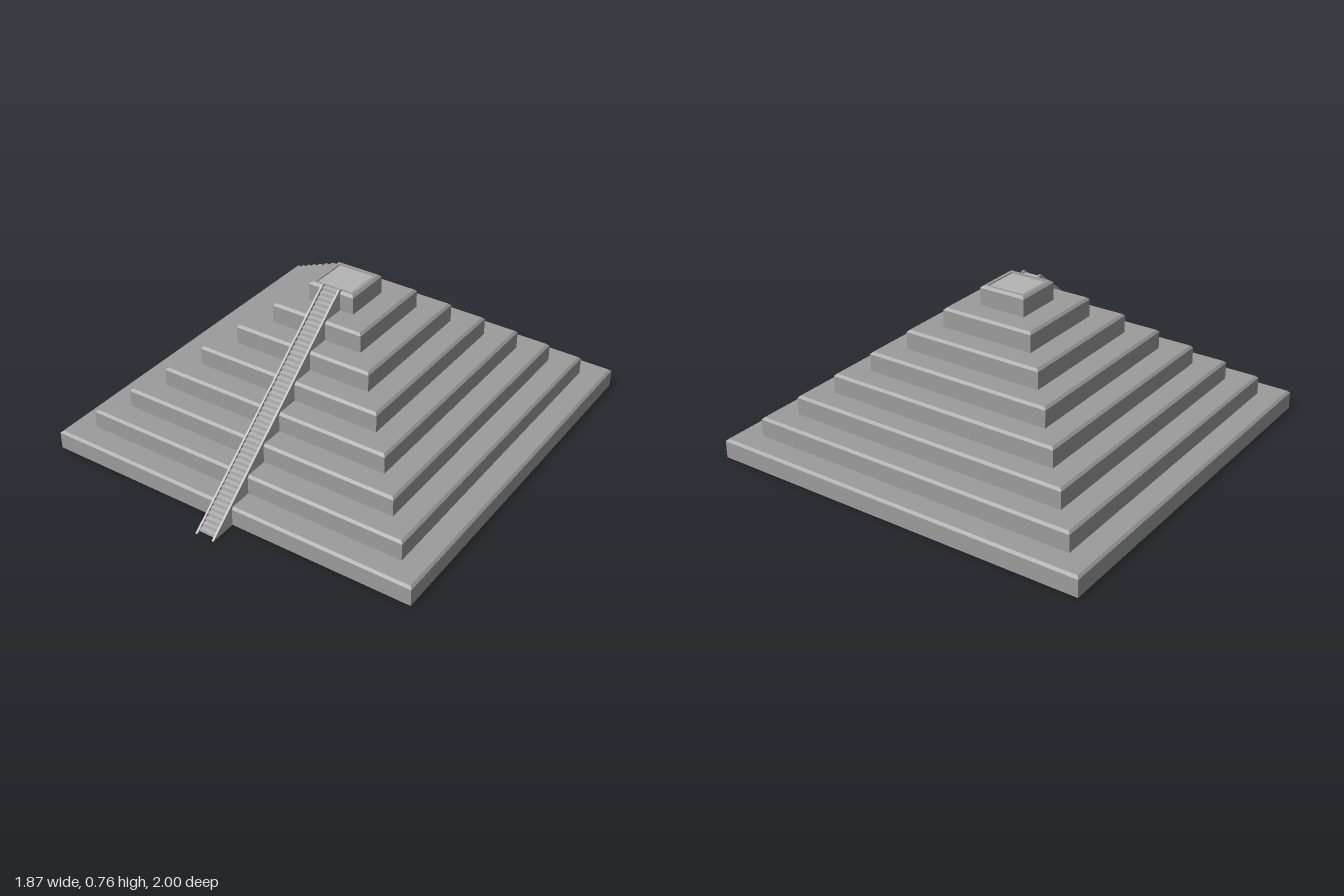
import * as THREE from 'three';

const stone = new THREE.MeshStandardMaterial({ color: 0x9c9c9c, flatShading: true, side: THREE.DoubleSide });
const paleStone = new THREE.MeshStandardMaterial({ color: 0xb4b4b4, flatShading: true, side: THREE.DoubleSide });

function part(name, geometry, material) {
  const mesh = new THREE.Mesh(geometry, material);
  mesh.name = name;
  return mesh;
}

// Four-sided shell swept from a [half width, height] profile
function squareShell(profile) {
  const points = profile.map(([w, y]) => new THREE.Vector2(w * Math.SQRT2, y));
  const geometry = new THREE.LatheGeometry(points, 4).rotateY(Math.PI / 4).toNonIndexed();
  geometry.computeVertexNormals();
  return geometry;
}

// Slab cut from a [z, y] outline, centred on x
function sideSlab(outline, x, width) {
  const shape = new THREE.Shape(outline.map(([z, y]) => new THREE.Vector2(z, y)));
  const geometry = new THREE.ExtrudeGeometry(shape, { depth: width, bevelEnabled: false });
  return geometry.translate(0, 0, -width / 2).rotateY(-Math.PI / 2).translate(x, 0, 0);
}

export function createModel() {
  const model = new THREE.Group();
  model.name = 'steppedPyramid';

  // Hollow terraces, each with a bevelled upper edge
  const tiers = 8, tierHeight = 0.0935, tierInset = 0.1168, base = 0.934, bevel = 0.011;
  const centreZ = -0.066;
  const profile = [];
  for (let i = 0; i < tiers; i++) {
    const half = base - i * tierInset;
    const top = (i + 1) * tierHeight;
    profile.push([half, i * tierHeight], [half, top - bevel], [half - bevel, top]);
  }
  const roof = tiers * tierHeight;
  profile.push([0.09, roof], [0.09, roof - 0.01]);
  const terraces = part('terraces', squareShell(profile), stone);
  terraces.position.z = centreZ;
  model.add(terraces);

  // Pale summit slab, slightly sunken
  const slab = part('summitFloor', new THREE.BoxGeometry(0.18, 0.03, 0.18), paleStone);
  slab.position.set(0, roof - 0.02, centreZ);
  model.add(slab);

  // Staircase block, kept just below the side walls
  const stairs = new THREE.Group();
  stairs.name = 'staircase';
  const steps = 48, foot = 0.978, back = 0.037;
  const run = (foot - back) / steps, rise = roof / steps;
  const outline = [[back, 0], [foot, 0]];
  for (let i = 0; i < steps; i++) {
    outline.push([foot - i * run, (i + 1) * rise], [foot - (i + 1) * run, (i + 1) * rise]);
  }
  stairs.add(part('steps', sideSlab(outline, 0, 0.078), paleStone));

  // Sloping side walls
  const wall = [[back, 0], [1, 0], [0.054, 0.758], [back, 0.758]];
  for (const side of [-1, 1]) {
    stairs.add(part(side > 0 ? 'leftStairWall' : 'rightStairWall', sideSlab(wall, side * 0.0435, 0.009), paleStone));
  }
  model.add(stairs);

  return model;
}
